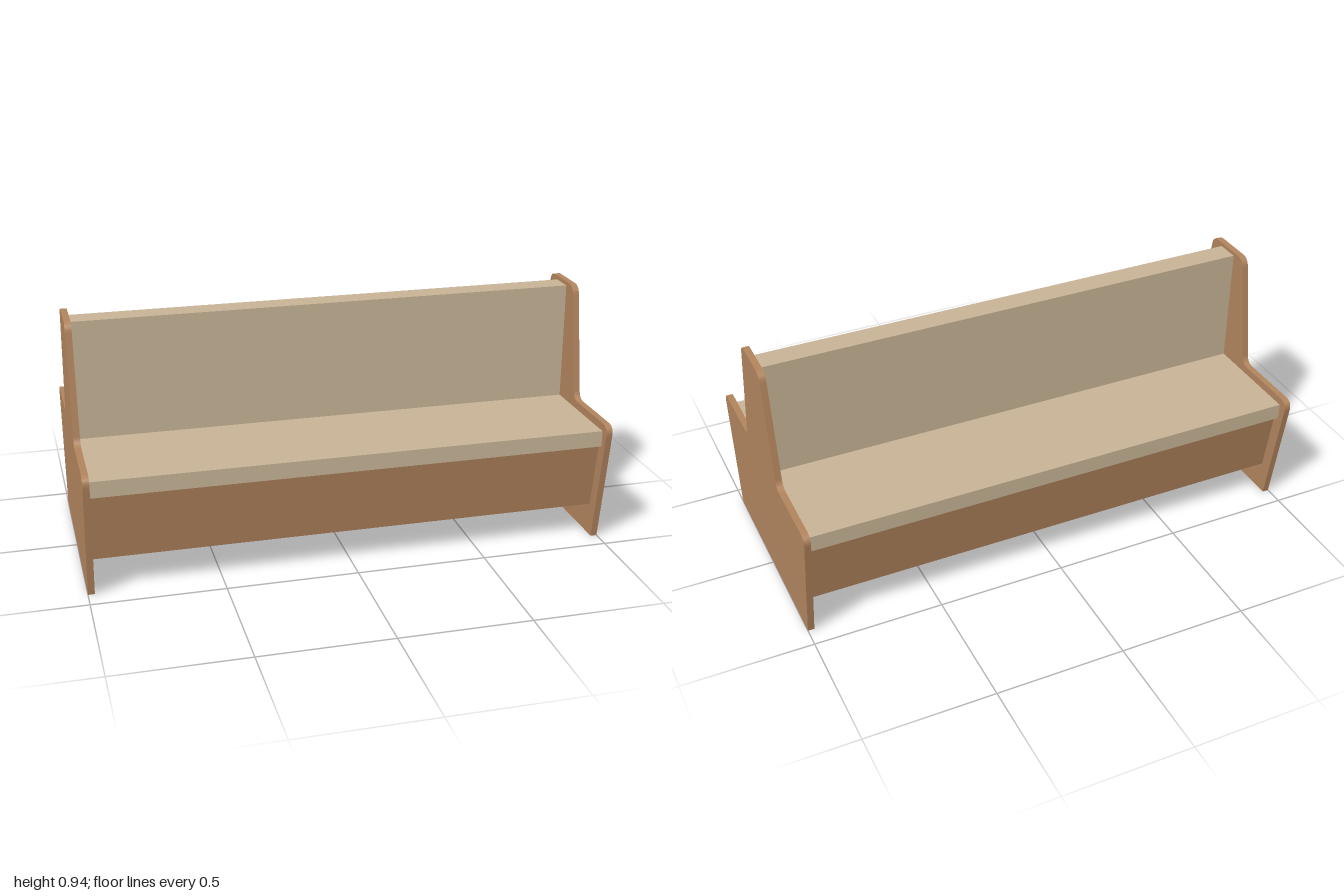
import * as THREE from 'three';

const wood = new THREE.MeshStandardMaterial({ color: 0xb2855e });
wood.name = 'brown wood';
const laminate = new THREE.MeshStandardMaterial({ color: 0xc8b496 });
laminate.name = 'beige laminate';

const PANEL = 0.025;          // end panel thickness
const INNER = 2 - 2 * PANEL;  // length between the end panels

// Closed outline whose corners [x, y, setback] are rounded where setback > 0
function roundedOutline(corners) {
  const shape = new THREE.Shape();
  const n = corners.length;
  const at = (i) => new THREE.Vector2(corners[(i + n) % n][0], corners[(i + n) % n][1]);
  for (let i = 0; i < n; i++) {
    const p = at(i), r = corners[i][2];
    const toward = (q) => q.sub(p).setLength(r).add(p);
    const start = r ? toward(at(i - 1)) : p;
    if (i === 0) shape.moveTo(start.x, start.y);
    else shape.lineTo(start.x, start.y);
    if (r) {
      const end = toward(at(i + 1));
      shape.quadraticCurveTo(p.x, p.y, end.x, end.y);
    }
  }
  shape.closePath();
  return shape;
}

// Extrude a cross-section (z across, y up) along x, centred on x = 0
function extrudeAlongX(shape, length) {
  const geometry = new THREE.ExtrudeGeometry(shape, { depth: length, bevelEnabled: false, curveSegments: 10 });
  return geometry.translate(0, 0, -length / 2).rotateY(-Math.PI / 2);
}

export function createModel() {
  const group = new THREE.Group();
  group.name = 'doubleSidedBench';

  const add = (name, geometry, material, x = 0, y = 0, z = 0) => {
    const mesh = new THREE.Mesh(geometry, material);
    mesh.name = name;
    mesh.position.set(x, y, z);
    group.add(mesh);
    return mesh;
  };

  // End panels: tapered base, arm level, narrow upright
  const half = [[0.423, 0.003, 0], [0.501, 0.494, 0.042], [0.185, 0.494, 0.034], [0.107, 0.94, 0.034]];
  const mirrored = half.map(([z, y, r]) => [-z, y, r]).reverse();
  const panel = extrudeAlongX(roundedOutline([...half, ...mirrored]), PANEL);
  add('leftEndPanel', panel, wood, 1 - PANEL / 2);
  add('rightEndPanel', panel, wood, -1 + PANEL / 2);

  // Seat slab shared by both sides, and the central backrest
  add('seat', new THREE.BoxGeometry(INNER, 0.063, 0.92), laminate, 0, 0.4315, 0);
  add('backrest', new THREE.BoxGeometry(INNER, 0.462, 0.09), laminate, 0, 0.694, 0);

  // Sloping aprons under the seat edges
  const apron = extrudeAlongX(
    roundedOutline([[0.37, 0.13, 0], [0.395, 0.13, 0], [0.437, 0.4, 0], [0.412, 0.4, 0]]), INNER);
  add('frontApron', apron, wood);
  add('backApron', apron, wood).rotation.y = Math.PI;

  return group;
}
